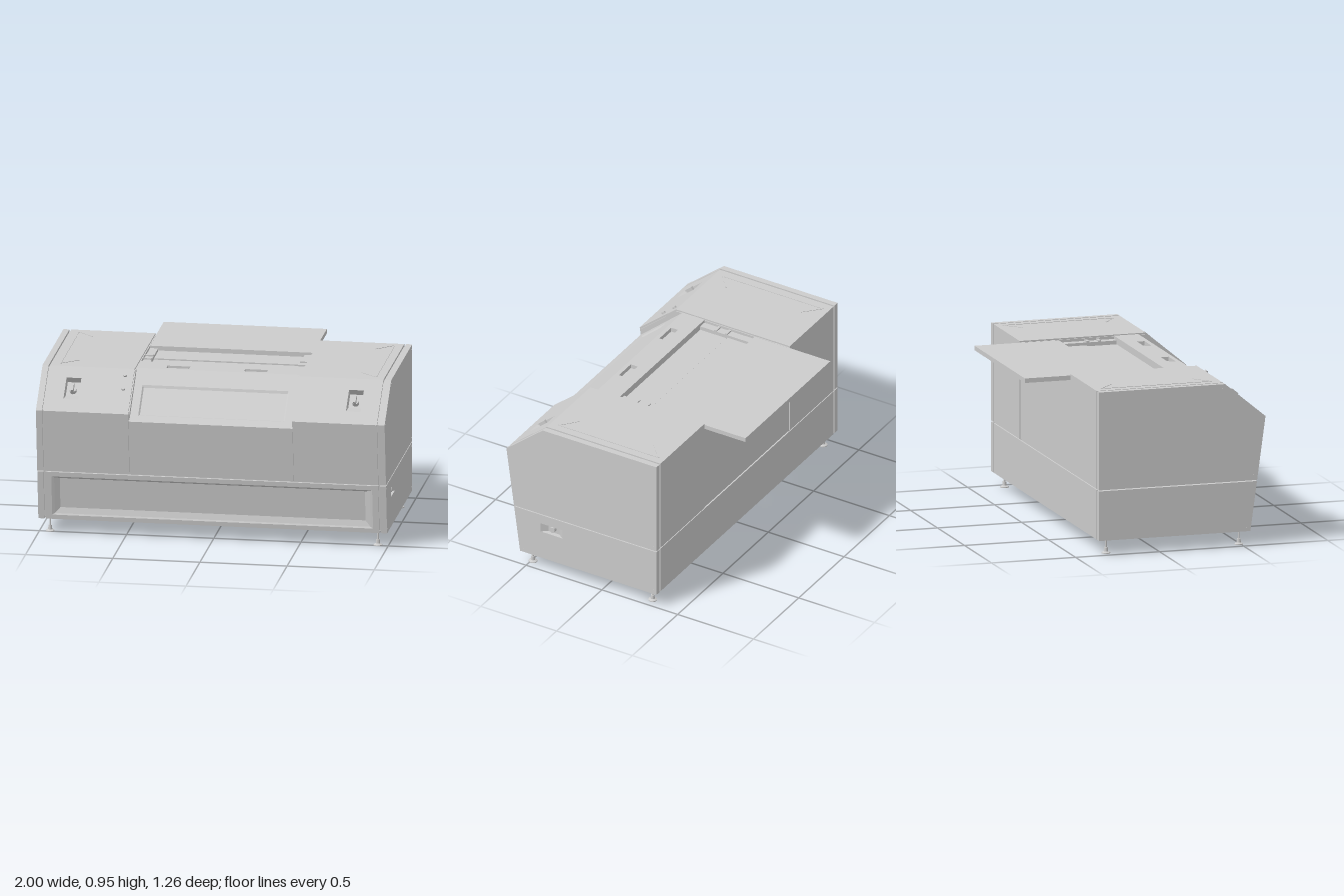
import * as THREE from 'three';

const MAT = new THREE.MeshStandardMaterial({ color: 0xcccccc });
const THIN = new THREE.MeshStandardMaterial({ color: 0xcccccc, side: THREE.DoubleSide });

// Cabinet section as [z, y] points
const frontZ = (y) => 0.54 + (y - 0.085) * 0.1364;
const BACK = -0.36, TOP = 0.945, BOTTOM = 0.085, SEAM = 0.375, GAP = 0.003;
const KNEE = [0.63, 0.745], BROW = [0.39, TOP];
const lowFront = [frontZ(BOTTOM), BOTTOM], lowFrontTop = [frontZ(SEAM - GAP), SEAM - GAP];
const upFront = [frontZ(SEAM + GAP), SEAM + GAP];
const upperProfile = [upFront, KNEE, BROW, [BACK, TOP], [BACK, SEAM + GAP]];
const lowerProfile = [lowFront, lowFrontTop, [BACK, SEAM - GAP], [BACK, BOTTOM]];
const innerProfile = [[0.53, 0.1], [0.615, 0.742], [0.384, 0.932], [-0.348, 0.932], [-0.348, 0.1]];
const T = 0.012, END = 0.955, MID = 0.47;

export function createModel() {
  const root = new THREE.Group();

  const add = (name, geo, mat = MAT, parent = root) => {
    const m = new THREE.Mesh(geo, mat);
    m.name = name;
    parent.add(m);
    return m;
  };
  const box = (name, x0, x1, y0, y1, z0, z1) =>
    add(name, new THREE.BoxGeometry(x1 - x0, y1 - y0, z1 - z0)
      .translate((x0 + x1) / 2, (y0 + y1) / 2, (z0 + z1) / 2));

  const rect = (P, x0, y0, x1, y1) => {
    const p = new P();
    p.moveTo(x0, y0); p.lineTo(x1, y0); p.lineTo(x1, y1); p.lineTo(x0, y1); p.closePath();
    return p;
  };

  // Local frame on the plane from a to b: x across, y along a-b, z outward
  const frame = (a, b) => {
    const S = new THREE.Vector3(0, b[1] - a[1], b[0] - a[0]).normalize();
    const X = new THREE.Vector3(1, 0, 0);
    return new THREE.Matrix4().makeBasis(X, S, X.clone().cross(S)).setPosition(0, a[1], a[0]);
  };

  // Flat sheet from a to b, with rectangular holes
  const panel = (name, x0, x1, a, b, holes = []) => {
    const s = rect(THREE.Shape, x0, 0, x1, Math.hypot(b[0] - a[0], b[1] - a[1]));
    holes.forEach((h) => s.holes.push(rect(THREE.Path, ...h)));
    const g = new THREE.ExtrudeGeometry(s, { depth: T, bevelEnabled: false }).translate(0, 0, -T);
    return add(name, g.applyMatrix4(frame(a, b)));
  };

  // Pressed recess: rectangles [x0, y0, x1, y1, z] joined in order, the last one filled
  const pressed = (rings) => {
    const pos = [];
    const corner = (r, i) => [[r[0], r[1]], [r[2], r[1]], [r[2], r[3]], [r[0], r[3]]][i % 4].concat(r[4]);
    const quad = (a, b, c, d) => pos.push(...a, ...b, ...c, ...a, ...c, ...d);
    for (let k = 0; k + 1 < rings.length; k++)
      for (let i = 0; i < 4; i++)
        quad(corner(rings[k], i), corner(rings[k], i + 1), corner(rings[k + 1], i + 1), corner(rings[k + 1], i));
    const last = rings[rings.length - 1];
    quad(...[0, 1, 2, 3].map((i) => corner(last, i)));
    const g = new THREE.BufferGeometry();
    g.setAttribute('position', new THREE.Float32BufferAttribute(pos, 3));
    g.computeVertexNormals();
    return g;
  };

  // Section plate extruded along x; holes are lists of [z, y]
  const slab = (name, pts, x0, x1, holes = []) => {
    const v = (list) => list.map(([z, y]) => new THREE.Vector2(-z, y));
    const s = new THREE.Shape(v(pts));
    holes.forEach((h) => s.holes.push(new THREE.Path(v(h))));
    const g = new THREE.ExtrudeGeometry(s, { depth: x1 - x0, bevelEnabled: false });
    return add(name, g.rotateY(Math.PI / 2).translate(x0, 0, 0));
  };

  // Base: front with pressed field, and back
  const field = [-0.92, 0.026, 0.92, 0.262];
  panel('baseFront', -END, END, lowFront, lowFrontTop, [field]);
  add('baseFrontRecess', pressed([[...field, 0], [-0.905, 0.034, 0.905, 0.254, -0.006],
    [-0.875, 0.066, 0.875, 0.246, -0.02]]).applyMatrix4(frame(lowFront, lowFrontTop)), THIN);
  panel('baseBack', -END, END, [BACK, SEAM - GAP], [BACK, BOTTOM]);

  // Rims at the floor opening and ledges behind the seam
  box('bottomRimFront', -END, END, 0.087, 0.097, 0.49, 0.535);
  box('bottomRimBack', -END, END, 0.087, 0.097, -0.355, -0.31);
  box('seamLedgeFront', -END, END, 0.36, 0.39, 0.535, 0.57);
  box('seamLedgeBack', -END, END, 0.36, 0.39, -0.352, -0.32);

  for (const sx of [-1, 1]) {
    const span = (a, b) => (sx > 0 ? [a, b] : [-b, -a]);
    const [x0, x1] = span(MID + 0.002, END);
    const [c0, c1] = span(0.965, 1);
    const cx = sx * 0.81;

    // Side housing
    panel('housingFront', x0, x1, upFront, KNEE);
    const hole = [cx - 0.0425, 0.086, cx + 0.0425, 0.234];
    panel('housingSlope', x0, x1, KNEE, BROW, [hole]);
    panel('housingTop', x0, x1, BROW, [BACK, TOP]);
    panel('housingBack', x0, x1, [BACK, TOP], [BACK, SEAM + GAP]);

    // Control pocket with knob
    const slope = frame(KNEE, BROW);
    add('controlPocket', pressed([[...hole, 0],
      [cx - 0.039, 0.138, cx + 0.039, 0.23, -0.04]]).applyMatrix4(slope), THIN);
    add('controlKnob', new THREE.CylinderGeometry(0.02, 0.02, 0.025, 24).rotateX(Math.PI / 2)
      .translate(cx, 0.168, -0.027).applyMatrix4(slope));
    add('controlLever', new THREE.BoxGeometry(0.014, 0.05, 0.03)
      .translate(cx, 0.168, -0.003).applyMatrix4(slope));

    // Pressed ridge on the top
    const ridge = [[0.81, -0.23], [0.905, -0.32], [0.905, 0.34], [0.81, 0.26]];
    for (let i = 0; i < 3; i++) {
      const [p, q] = [ridge[i], ridge[i + 1]].map(([x, z]) => new THREE.Vector3(sx * x, TOP, z));
      const r = add('topRidge', new THREE.BoxGeometry(0.008, 0.005, p.distanceTo(q)));
      r.position.copy(p).lerp(q, 0.5);
      r.lookAt(q);
    }

    // End walls, inner lining and partition rib
    const port = [[0.26, 0.26], [0.405, 0.26], [0.405, 0.315], [0.26, 0.315]];
    slab('endPanelUpper', upperProfile, c0, c1);
    slab('endPanelLower', lowerProfile, c0, c1, sx > 0 ? [port] : []);
    slab('endLining', innerProfile, ...span(0.945, 0.967));
    slab('partitionRib', [[0.56, 0.37], [0.617, 0.742], [0.386, 0.937], [-0.355, 0.937], [-0.355, 0.37]],
      ...span(MID - 0.004, MID + 0.008),
      [[[0.52, 0.4], [0.56, 0.72], [0.36, 0.87], [-0.3, 0.87], [-0.3, 0.4]]]);
    box('bottomRimEnd', ...span(0.91, 0.96), 0.087, 0.097, -0.355, 0.535);

    // Screws in the end panels
    for (const [z, y] of [[0.595, 0.74], [0.375, 0.92], [-0.34, 0.92], [-0.34, 0.4], [0.56, 0.41],
      [0.55, 0.35], [0.52, 0.105], [-0.34, 0.35], [-0.34, 0.11]])
      add('screw', new THREE.CylinderGeometry(0.004, 0.004, 0.003, 10).rotateZ(Math.PI / 2)
        .translate(sx * 1, y, z));

    // Rail and blocks beside the opening
    box('openingRail', ...span(0.42, MID), 0.895, 0.922, -0.13, 0.2);
    for (const z of [0.03, 0.1])
      box('railBlock', ...span(0.42, MID), 0.9, 0.93, z - 0.008, z + 0.008);

    // Levelling feet
    const foot = [[0, 0], [0.025, 0], [0.025, 0.005], [0.012, 0.011], [0.01, 0.035], [0.005, 0.035],
      [0.005, 0.09]].map(([r, y]) => new THREE.Vector2(r, y));
    for (const z of [0.49, -0.3])
      add('foot', new THREE.LatheGeometry(foot, 20).translate(sx * 0.94, 0, z)
        .toNonIndexed()).geometry.computeVertexNormals();
  }

  // Socket recess on the left end
  const side = new THREE.Matrix4().makeRotationY(Math.PI / 2).setPosition(1, 0.2875, 0.3325);
  add('socketRecess', pressed([[-0.0725, -0.0275, 0.0725, 0.0275, 0],
    [-0.036, -0.027, 0.036, 0.027, -0.026]]).applyMatrix4(side), THIN);
  add('socketKnob', new THREE.CylinderGeometry(0.017, 0.017, 0.02, 24).rotateX(Math.PI / 2)
    .translate(0, 0, -0.016).applyMatrix4(side));

  // Push buttons on the right slope
  for (const s of [0.172, 0.265])
    add('pushButton', new THREE.CylinderGeometry(0.011, 0.011, 0.02, 20).rotateX(Math.PI / 2)
      .translate(-0.52, s, 0.002).applyMatrix4(frame(KNEE, BROW)));

  // Centre cover, set lower than the housings
  const cKnee = [0.621, 0.7], cBrow = [0.345, 0.94], cEdge = [0.2, 0.94];
  panel('coverFront', -MID, MID, [upFront[0] - 0.002, upFront[1]], cKnee);
  const win = [-0.42, 0.045, 0.42, 0.252];
  panel('coverSlope', -MID, MID, cKnee, cBrow, [win]);
  add('coverRecess', pressed([[...win, 0], [-0.412, 0.053, 0.412, 0.238, -0.008]])
    .applyMatrix4(frame(cKnee, cBrow)), THIN);
  const grips = [-0.235, 0.21].map((x) => [x - 0.065, 0.025, x + 0.065, 0.07]);
  panel('coverTop', -MID, MID, cBrow, cEdge, grips);
  for (const g of grips)
    add('gripSlot', pressed([[...g, 0], [...g, -0.025]]).applyMatrix4(frame(cBrow, cEdge)), THIN);
  panel('coverRearLip', -MID, MID, cEdge, [0.2, 0.89]);
  panel('centreBack', -MID, MID, [BACK + 0.004, 0.908], [BACK + 0.004, SEAM + GAP]);

  // Inner deck below the opening, and the slid-back lid
  box('deckFront', -MID, MID, 0.885, 0.9, 0.025, 0.2);
  box('deckRear', -MID, MID, 0.89, 0.906, BACK + 0.005, 0.02);
  box('slidingLid', -MID + 0.002, MID - 0.002, 0.91, 0.936, -0.63, -0.13);

  return root;
}
